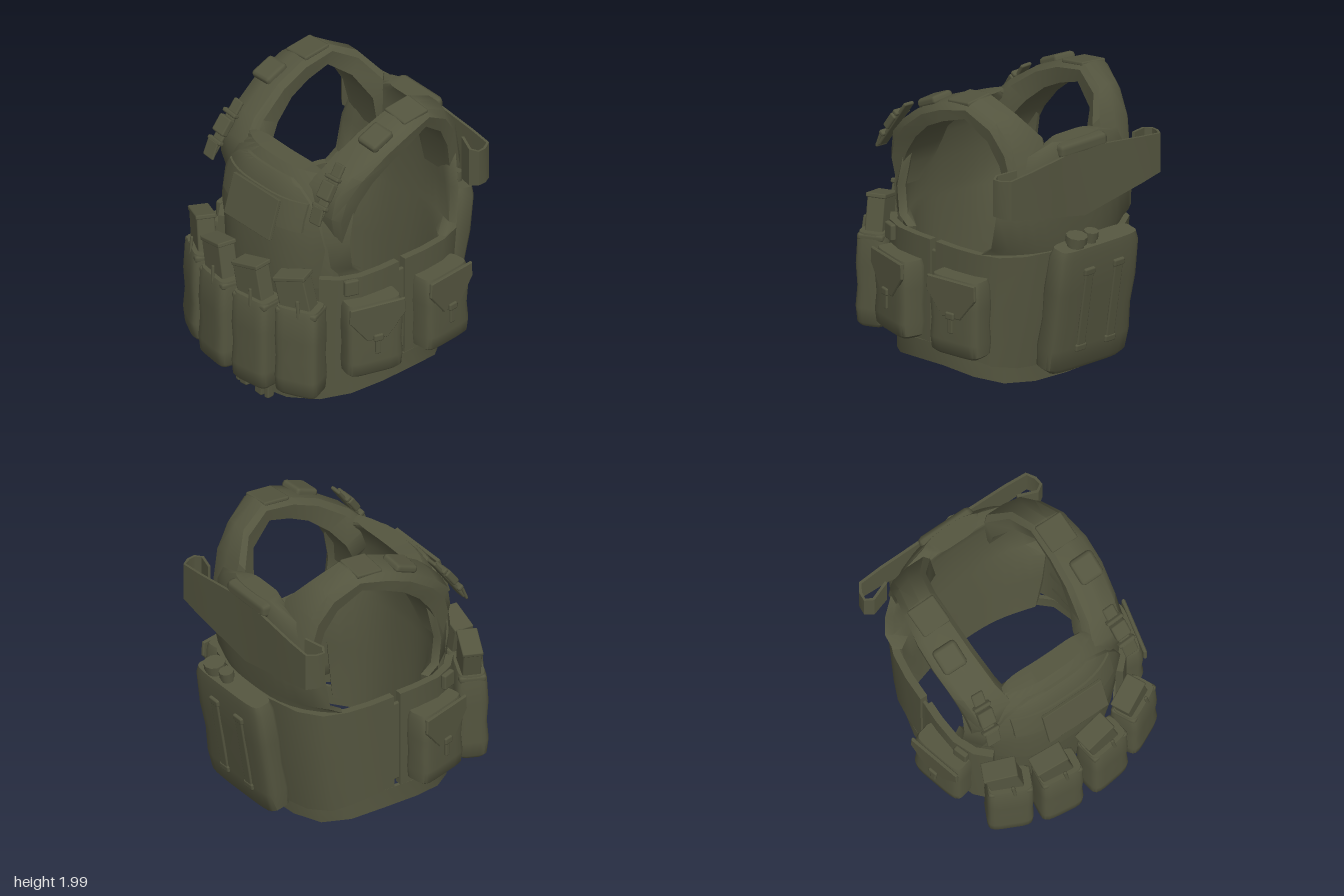
import * as THREE from 'three';
import { toCreasedNormals } from 'three/addons/utils/BufferGeometryUtils.js';
import { RoundedBoxGeometry } from 'three/addons/geometries/RoundedBoxGeometry.js';

const olive = new THREE.MeshStandardMaterial({ color: 0x54553f, side: THREE.DoubleSide });
olive.name = 'olive fabric';

function add(parent, name, geo, pos = [0, 0, 0], rot = [0, 0, 0]) {
  const m = new THREE.Mesh(geo, olive);
  m.name = name;
  m.position.set(...pos);
  m.rotation.set(...rot);
  parent.add(m);
  return m;
}
function group(parent, name, pos = [0, 0, 0], rot = [0, 0, 0]) {
  const g = new THREE.Group();
  g.name = name;
  g.position.set(...pos);
  g.rotation.set(...rot);
  parent.add(g);
  return g;
}
const box = (w, h, d, r = 0.012) => new RoundedBoxGeometry(w, h, d, 1, Math.min(r, w / 2.1, h / 2.1, d / 2.1));

// Closed solid through rings of equal, even point counts; caps pair point i with n-1-i
function loft(rings, crease = 0.8) {
  const n = rings[0].length, last = (rings.length - 1) * n, idx = [];
  const quad = (a, b, c, d) => idx.push(a, b, c, a, c, d);
  for (let k = 0; k < rings.length - 1; k++)
    for (let i = 0; i < n; i++) {
      const j = (i + 1) % n;
      quad(k * n + i, k * n + j, k * n + n + j, k * n + n + i);
    }
  for (let i = 0; i < n / 2 - 1; i++) {
    quad(i, n - 1 - i, n - 2 - i, i + 1);
    quad(last + i, last + i + 1, last + n - 2 - i, last + n - 1 - i);
  }
  const p = rings.flat().map(q => new THREE.Vector3(...q));
  let vol = 0;
  for (let i = 0; i < idx.length; i += 3)
    vol += p[idx[i]].dot(p[idx[i + 1]].clone().cross(p[idx[i + 2]]));
  if (vol < 0) idx.reverse();
  const g = new THREE.BufferGeometry().setFromPoints(p);
  g.setIndex(idx);
  return toCreasedNormals(g, crease);
}

// Soft bag standing on y = 0, rounded-rectangle section, slightly bulged
function bag(w, h, d) {
  const rows = [[0, .84, .74], [.04, .97, .95], [.2, 1, 1.06], [.42, .97, .95], [.65, 1, 1.05], [.93, .98, .95], [1, .92, .82]];
  const pw = v => Math.sign(v) * Math.abs(v) ** 0.4;
  return loft(rows.map(([y, sw, sd]) => Array.from({ length: 20 }, (_, i) => {
    const a = (i + 0.5) / 20 * Math.PI * 2;
    return [pw(Math.cos(a)) * w / 2 * sw, y * h, pw(Math.sin(a)) * d / 2 * sd];
  })));
}

// Upright band following a plan path of [x, z], between two heights; foot scales z at the bottom
function ribbon(path, t, lo, hi, foot = 1) {
  const inner = path.map(([x, z], i) => {
    const a = path[Math.max(i - 1, 0)], b = path[Math.min(i + 1, path.length - 1)];
    const dx = b[0] - a[0], dz = b[1] - a[1], l = Math.hypot(dx, dz);
    return [x - dz / l * t, z + dx / l * t];
  });
  return loft([0, .5, 1].map(k => {
    const at = (q, p) => [q[0], lo(p) + (hi(p) - lo(p)) * k, q[1] * (foot + (1 - foot) * k)];
    return [...path.map(p => at(p, p)), ...inner.map((q, i) => at(q, path[i])).reverse()];
  }));
}
const mirrorPath = half => [...half.slice(1).reverse().map(([x, z]) => [-x, z]), ...half];

// Panel rows: y, half width, centre z, edge z
const frontRows = [[.23, .52, .6, .36], [.6, .58, .64, .36], [1, .6, .67, .28], [1.06, .6, .67, .36], [1.25, .6, .66, .38],
  [1.45, .59, .62, .34], [1.58, .52, .57, .34], [1.66, .35, .5, .42]];
const backRows = [[.23, .5, -.56, -.38], [.6, .57, -.61, -.4], [1, .6, -.66, -.4], [1.06, .6, -.67, -.49], [1.3, .58, -.69, -.52],
  [1.55, .5, -.7, -.56], [1.66, .38, -.69, -.6], [1.72, .21, -.67, -.63]];
const span = Array.from({ length: 15 }, (_, i) => i / 7 - 1);
const bend = (s, zc, ze) => zc - (zc - ze) * Math.abs(s) ** 3;

function panel(rows, t) {
  return loft(rows.map(([y, w, zc, ze]) => [
    ...span.map(s => [s * w, y, bend(s, zc, ze)]),
    ...span.map(s => [s * w * .92, y, bend(s, zc, ze) - t * (1 - .8 * s ** 4)]).reverse()]));
}
function frontZ(x, y) {
  let i = 0;
  while (i < frontRows.length - 2 && frontRows[i + 1][0] < y) i++;
  const a = frontRows[i], b = frontRows[i + 1], k = (y - a[0]) / (b[0] - a[0]);
  const [, w, zc, ze] = a.map((v, j) => v + (b[j] - v) * k);
  return bend(Math.min(1, Math.abs(x) / w), zc, ze);
}
// Layer lying on the front panel; rows of y, half width
const overlay = (rows, t, cx = 0) => loft(rows.map(([y, w]) => [
  ...span.map(s => [cx + s * w, y, frontZ(cx + s * w, y) + t]),
  ...span.map(s => [cx + s * w, y, frontZ(cx + s * w, y) - .02]).reverse()]));

// Shoulder strap stations: outer y, z, inner y, z, inner x, outer x
const strapRows = [[1.26, .45, 1.24, .38, .4, .57], [1.45, .51, 1.38, .36, .29, .59], [1.6, .49, 1.5, .3, .28, .6],
  [1.72, .37, 1.63, .2, .325, .62], [1.87, .15, 1.75, .06, .355, .645], [1.955, -.05, 1.82, -.08, .365, .645],
  [1.99, -.28, 1.87, -.24, .365, .61], [1.9, -.46, 1.75, -.4, .32, .56], [1.75, -.58, 1.6, -.48, .21, .53],
  [1.45, -.65, 1.35, -.53, .22, .5]];

function sidePouch(parent, pos, yaw) {
  const g = group(parent, 'sidePouch', pos, [0, yaw, 0]);
  add(g, 'sidePouchBody', bag(.39, .52, .19));
  const flap = new THREE.Shape([[-.185, .51], [.185, .51], [.19, .42], [.07, .27], [-.07, .27], [-.19, .42]]
    .map(p => new THREE.Vector2(...p)));
  add(g, 'sidePouchFlap', new THREE.ExtrudeGeometry(flap, { depth: .012, bevelSize: .006, bevelThickness: .006, bevelSegments: 1 }), [0, 0, .088]);
  add(g, 'sidePouchStrap', box(.04, .14, .02), [0, .23, .105]);
  add(g, 'sidePouchBuckle', box(.07, .05, .025), [0, .28, .112]);
}

export function createModel() {
  const vest = new THREE.Group();
  vest.name = 'platedVest';

  // Carrier panels
  add(vest, 'frontPanel', panel(frontRows, .13));
  add(vest, 'backPanel', panel(backRows, -.13));
  add(vest, 'frontBib', overlay([[.9, .53], [1.2, .51], [1.38, .46], [1.5, .39], [1.58, .3], [1.61, .22]], .02));
  add(vest, 'patchBacking', overlay([[1.31, .38], [1.4, .38], [1.5, .38]], .035, .01));
  add(vest, 'frontPatch', box(.45, .28, .025, .004), [.025, 1.375, .7], [-.29, 0, 0]);

  for (const s of [1, -1]) {
    // Shoulders
    const rings = strapRows.map(([yo, zo, yi, zi, a, b]) => {
      const m = (a + b) / 2, mix = e => [yo + (yi - yo) * e, zo + (zi - zo) * e];
      return [[a, ...mix(.25)], [a + .035, yo, zo], [m, yo, zo], [b - .04, ...mix(.15)], [b, ...mix(.45)],
        [b - .01, yi, zi], [b - .05, yi, zi], [m, yi, zi], [a + .05, yi, zi], [a + .01, yi, zi]]
        .map(p => [p[0] * s, p[1], p[2]]);
    });
    add(vest, 'shoulderStrap', loft(rings, .7));
    add(vest, 'shoulderPad', box(.17, .06, .18, .025), [.525 * s, 1.89, .11], [.42, 0, -.06 * s]);
    add(vest, 'shoulderPatch', box(.2, .03, .2, .012), [.49 * s, 1.965, -.17], [.14, 0, -.1 * s]);
    const h = group(vest, 'shoulderHarness', [.515 * s, 1.62, .485], [-.6, 0, .06 * s]);
    add(h, 'harnessWebbing', box(.085, .4, .025));
    add(h, 'harnessBuckle', box(.11, .12, .05), [0, .01, .02]);
    for (const y of [-.1, .1]) add(h, 'harnessBar', box(.125, .03, .045), [0, y, .015]);
    add(h, 'harnessTail', box(.1, .12, .02), [0, -.16, .015], [.25, 0, 0]);

    // Side wings of the waist, hem dropping toward front and back
    const hem = p => .31 - .22 * Math.max(0, Math.abs(p[1]) - .25);
    const wing = (name, path, foot) => add(vest, name,
      ribbon(path.map(([x, z]) => [x * s, z]), -.05 * s, hem, () => 1.0, foot));
    wing('frontWaistWing', [[.5, .55], [.59, .46], [.645, .32], [.655, .15], [.65, .02]], 1);
    wing('backWaistWing', [[.65, -.03], [.645, -.2], [.62, -.37], [.56, -.52], [.42, -.62], [.2, -.67], [0, -.68]], .87);
    add(vest, 'waistJoiner', box(.03, .58, .14), [.62 * s, .64, -.005]);
    add(vest, 'waistTab', box(.04, .11, .1), [.64 * s, .95, .4], [0, -.3 * s, 0]);
    sidePouch(vest, [.675 * s, .33, .27], 1.34 * s);
  }
  sidePouch(vest, [.675, .33, -.29], 1.72);

  // Magazine pouches across the front
  for (const [x, z, yaw, y] of [[-.475, .69, -.45, .23], [-.17, .785, -.13, .21], [.175, .785, .13, .21], [.485, .685, .45, .23]]) {
    const g = group(vest, 'magazinePouch', [x, y, z], [0, yaw, 0]);
    add(g, 'pouchBody', bag(.3, .63, .21));
    add(g, 'pouchHem', box(.29, .05, .18, .02), [0, .6, 0]);
    add(g, 'magazine', box(.21, .4, .12, .01), [-.02, .64, -.005], [0, 0, .22]);
    add(g, 'magazineCap', box(.225, .03, .135, .008), [-.06, .83, -.005], [0, 0, .22]);
    add(g, 'pullTab', box(.025, .13, .02), [.02, .64, .085], [-.1, 0, .12]);
  }

  // Hydration carrier on the back, leaning outward with height
  const pack = group(vest, 'backPack', [0, .21, -.665], [-.16, 0, 0]);
  add(pack, 'packBody', bag(.69, .87, .18));
  for (const x of [.11, -.14]) {
    add(pack, 'packWebbing', box(.07, .56, .02), [x, .44, -.095]);
    for (const y of [.17, .71]) add(pack, 'webbingKeeper', box(.09, .05, .03), [x, y, -.095]);
  }
  for (const [x, r] of [[.05, .048], [.175, .07]]) {
    add(pack, 'fillerNeck', new THREE.CylinderGeometry(r * .8, r * .8, .08, 12), [x, .88, -.01]);
    add(pack, 'fillerCap', new THREE.CylinderGeometry(r, r, .05, 10), [x, .92, -.01]);
  }

  // Rear flap with looped ends, and drag handle
  const flap = mirrorPath([[0, -.715], [.25, -.72], [.48, -.725], [.64, -.72], [.68, -.66], [.685, -.6], [.63, -.565], [.5, -.61]]);
  add(vest, 'rearFlap', ribbon(flap, .018, p => 1.2 + .2 * Math.abs(p[0]), p => 1.66 - .11 * Math.abs(p[0])));
  add(vest, 'dragHandle', box(.4, .1, .09, .035), [0, 1.665, -.675]);

  // Waist belt with front buckle
  const belt = mirrorPath([[0, -.53], [.25, -.52], [.46, -.46], [.59, -.32], [.65, -.1], [.65, .15],
    [.59, .36], [.47, .52], [.28, .63], [.06, .67]]);
  const dip = z => z > 0 ? .19 - .14 * (z / .67) ** 1.4 : .19 - .1 * (z / .53) ** 2;
  add(vest, 'waistBelt', ribbon(belt, .025, p => dip(p[1]), p => dip(p[1]) + .13));
  for (const s of [1, -1]) {
    add(vest, 'beltBuckle', box(.07, .17, .06), [.08 * s, .1, .67], [0, 0, -.08 * s]);
    add(vest, 'beltKeeper', box(.04, .17, .06), [.14 * s, .095, .66], [0, .15 * s, 0]);
  }
  add(vest, 'buckleCentre', box(.12, .1, .04), [0, .1, .67]);
  return vest;
}
